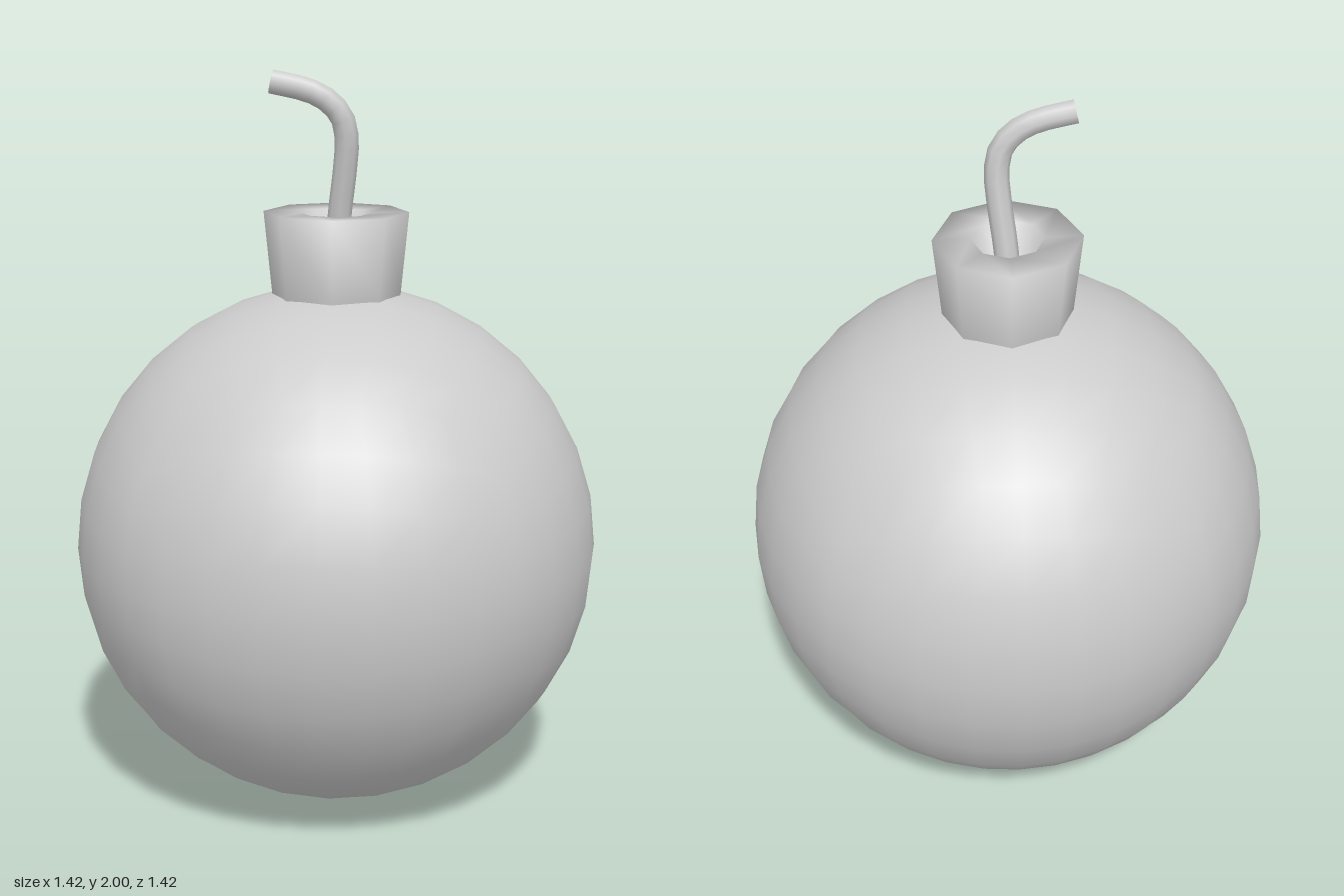
import * as THREE from 'three';
import { mergeVertices } from 'three/addons/utils/BufferGeometryUtils.js';

const RADIUS = 0.712;
const CENTER_Y = 0.714;

function addPart(group, name, geometry) {
  const mesh = new THREE.Mesh(geometry, new THREE.MeshStandardMaterial({ color: 0xcccccc }));
  mesh.name = name;
  group.add(mesh);
  return mesh;
}

// Cube grid pushed out to a sphere with equal angular steps
function cubeSphere(radius, segments) {
  let geometry = new THREE.BoxGeometry(2, 2, 2, segments, segments, segments);
  geometry.deleteAttribute('uv');
  geometry.deleteAttribute('normal');
  geometry = mergeVertices(geometry);
  const position = geometry.attributes.position;
  const point = new THREE.Vector3();
  const spread = (t) => Math.tan((t * Math.PI) / 4);
  for (let i = 0; i < position.count; i++) {
    point.fromBufferAttribute(position, i);
    point.set(spread(point.x), spread(point.y), spread(point.z)).setLength(radius);
    position.setXYZ(i, point.x, point.y, point.z);
  }
  geometry.computeVertexNormals();
  return geometry;
}

export function createModel() {
  const group = new THREE.Group();
  group.name = 'roundBomb';

  // Round body
  addPart(group, 'body', cubeSphere(RADIUS, 8)).position.y = CENTER_Y;

  // Eight-sided flared neck with a recessed hole
  const neckProfile = [
    [0.172, 1.37], [0.174, 1.41], [0.195, 1.625],
    [0.095, 1.622], [0.075, 1.52], [0, 1.52],
  ].map(([r, y]) => new THREE.Vector2(r, y));
  addPart(group, 'neck', new THREE.LatheGeometry(neckProfile, 8));

  // Bent fuse
  const path = new THREE.CatmullRomCurve3([
    [-0.002, 1.5, -0.045], [0.008, 1.62, -0.027], [0.023, 1.74, -0.007],
    [0.028, 1.82, 0.006], [0.014, 1.88, 0.014], [-0.03, 1.925, 0.018],
    [-0.08, 1.947, 0.019], [-0.17, 1.967, 0.02],
  ].map((p) => new THREE.Vector3(...p)));
  const fuseRadius = 0.032;
  addPart(group, 'fuse', new THREE.TubeGeometry(path, 16, fuseRadius, 8));

  // Flat end of the fuse
  const tip = addPart(group, 'fuseTip', new THREE.CircleGeometry(fuseRadius, 8));
  tip.position.copy(path.getPointAt(1));
  tip.quaternion.setFromUnitVectors(new THREE.Vector3(0, 0, 1), path.getTangentAt(1));

  return group;
}
